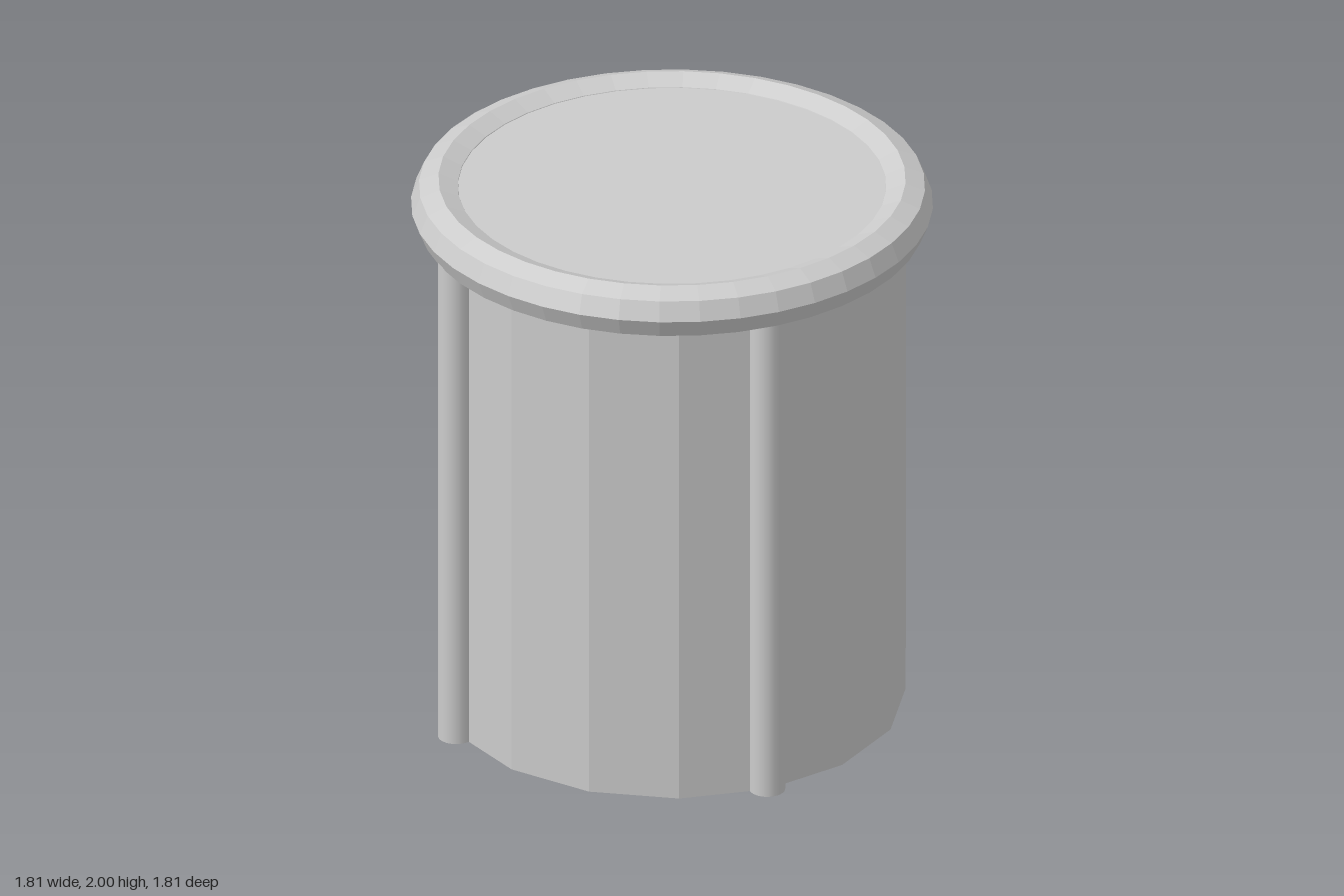
import * as THREE from 'three';

export function createModel() {
  const group = new THREE.Group();
  const flat = new THREE.MeshStandardMaterial({ color: 0xcccccc, flatShading: true });
  const smooth = new THREE.MeshStandardMaterial({ color: 0xcccccc });
  const shell = new THREE.MeshStandardMaterial({ color: 0xcccccc, flatShading: true, side: THREE.DoubleSide });

  function add(name, geometry, material, x = 0, y = 0, z = 0) {
    const mesh = new THREE.Mesh(geometry, material);
    mesh.name = name;
    mesh.position.set(x, y, z);
    group.add(mesh);
    return mesh;
  }

  // Sixteen-sided wall, open at the bottom
  const radius = 0.81, top = 1.97;
  add('bodyWall', new THREE.CylinderGeometry(radius, radius, top, 16, 1, true), shell, 0, top / 2, 0);

  // Recessed lid panel closing the wall
  add('lidPanel', new THREE.CircleGeometry(radius, 16).rotateX(-Math.PI / 2), shell, 0, top, 0);

  // Eight-sided ring around the lid
  const tube = 0.095;
  add('lidRim', new THREE.TorusGeometry(radius, tube, 8, 40).rotateX(Math.PI / 2), flat, 0, 2 - tube, 0);

  // Four upright rods set into the wall, running up into the rim
  const rodHeight = 1.87;
  const rod = new THREE.CylinderGeometry(0.063, 0.063, rodHeight, 20);
  for (const side of [-1, 1]) {
    add(side > 0 ? 'leftRod' : 'rightRod', rod, smooth, side * 0.82, rodHeight / 2, 0);
    add(side > 0 ? 'frontRod' : 'backRod', rod, smooth, 0, rodHeight / 2, side * 0.805);
  }

  // Square block inside the open base
  add('baseBlock', new THREE.BoxGeometry(0.77, 0.24, 0.77), flat, 0, 0.12, 0);

  return group;
}
